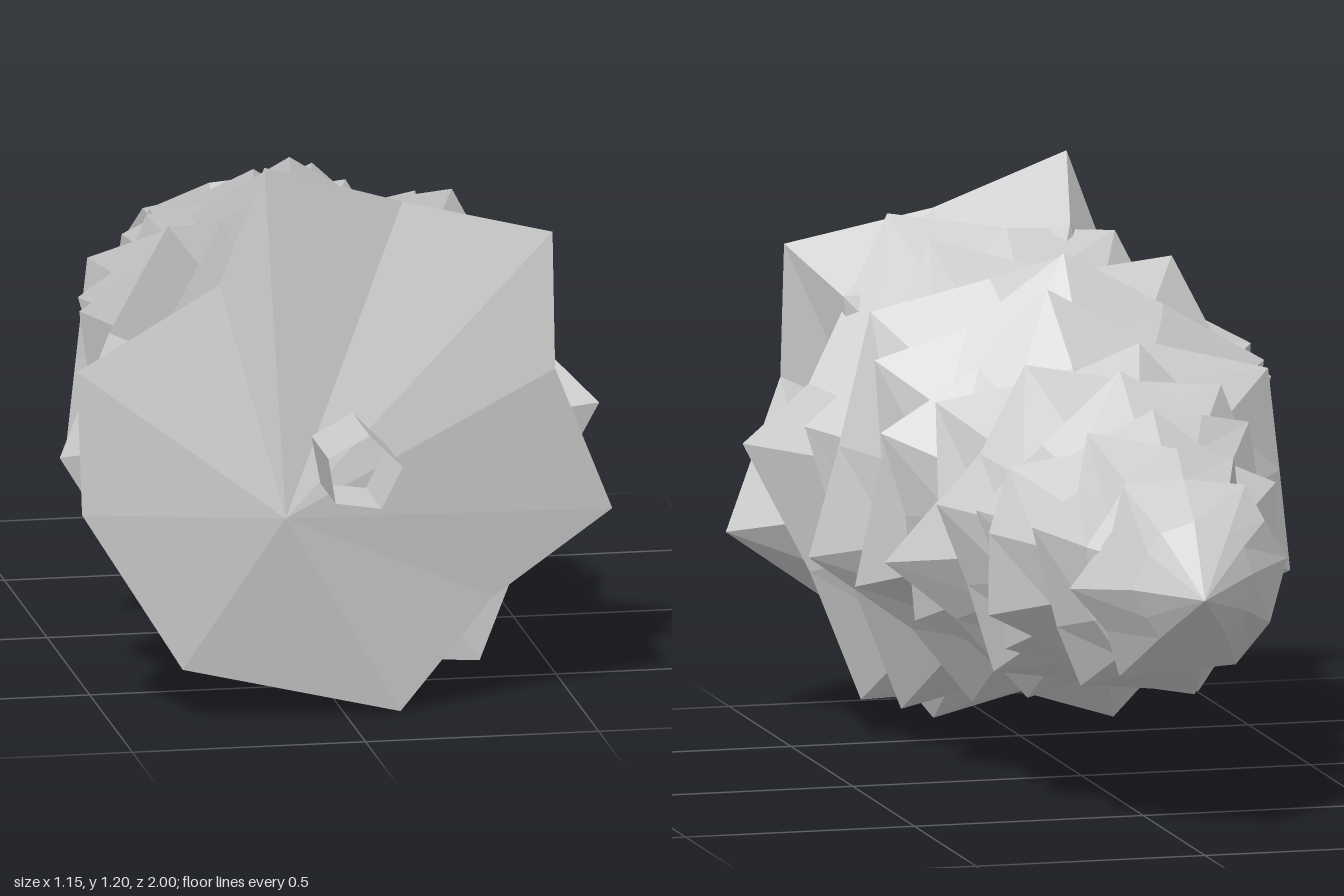
import * as THREE from 'three';

const AXIS_Y = 0.57;
const SPIKES = 6;

// Each tier: rim z, rim extents (right x, top y, left x, bottom y), angle of the first spike in degrees
const TIERS = [
  [-0.72, 0.22, 0.76, -0.26, 0.34, 0],
  [-0.59, 0.27, 0.84, -0.25, 0.28, 10],
  [-0.45, 0.33, 0.86, -0.30, 0.28, 35],
  [-0.32, 0.32, 0.92, -0.32, 0.23, 20],
  [-0.19, 0.37, 0.92, -0.38, 0.20, 5],
  [-0.04, 0.44, 0.93, -0.40, 0.18, 50],
  [0.08, 0.42, 1.03, -0.475, 0.16, 25],
  [0.22, 0.43, 1.08, -0.475, 0.14, 35],
  [0.36, 0.50, 1.05, -0.50, 0.10, 40],
  [0.49, 0.47, 1.07, -0.565, 0.03, 8],
  [0.63, 0.565, 1.105, -0.52, 0.07, 0],
];

// Corners of the lowest, widest tier, counter-clockwise from the front
const LOWEST_RIM = [
  [0.445, 0.74, 0.79], [0.445, 1.03, 0.76], [0.13, 1.1, 0.72], [-0.175, 1.2, 0.77],
  [-0.265, 0.94, 0.735], [-0.575, 0.77, 0.76], [-0.565, 0.46, 0.765], [-0.35, 0.115, 0.77],
  [0.12, 0, 0.755], [0.32, 0.24, 0.75], [0.575, 0.42, 0.75],
];

function seeded(seed) {
  return () => {
    seed = (seed * 16807) % 2147483647;
    return seed / 2147483647;
  };
}

// Closed surface through a base point, a rim, a shoulder ring and an apex
function tierGeometry(rim, base, apex, shoulderZ, shoulderScale) {
  const n = rim.length;
  const shoulder = rim.map((p, k) => {
    const s = shoulderScale + (k % 2 ? 0.06 : -0.02);
    return new THREE.Vector3(p.x * s, AXIS_Y + (p.y - AXIS_Y) * s, shoulderZ);
  });
  const pos = [];
  const tri = (...pts) => pts.forEach((p) => pos.push(p.x, p.y, p.z));
  for (let k = 0; k < n; k++) {
    const j = (k + 1) % n;
    tri(base, rim[k], rim[j]);
    tri(rim[j], rim[k], shoulder[k]);
    tri(rim[j], shoulder[k], shoulder[j]);
    tri(shoulder[j], shoulder[k], apex);
  }
  const geometry = new THREE.BufferGeometry();
  geometry.setAttribute('position', new THREE.Float32BufferAttribute(pos, 3));
  geometry.computeVertexNormals();
  return geometry;
}

// Star-shaped rim with drooping spikes and raised notches, fitted to the tier's extents
function jaggedRim([z, right, top, left, bottom, turn], rand) {
  const rim = Array.from({ length: SPIKES * 2 }, (_, k) => {
    const a = THREE.MathUtils.degToRad(turn) + (k + (rand() - 0.5) * 0.5) * Math.PI / SPIKES;
    const r = (k % 2 ? 0.82 : 0.97) + (rand() - 0.5) * 0.1;
    const lift = (k % 2 ? -0.035 : 0.005) + (rand() - 0.5) * 0.04;
    return new THREE.Vector3(Math.cos(a) * r, Math.sin(a) * r, z + lift);
  });
  const box = new THREE.Box3().setFromPoints(rim);
  rim.forEach((p) => {
    p.x = THREE.MathUtils.mapLinear(p.x, box.min.x, box.max.x, left, right);
    p.y = THREE.MathUtils.mapLinear(p.y, box.min.y, box.max.y, bottom, top);
  });
  return rim;
}

export function createModel() {
  const tree = new THREE.Group();
  tree.name = 'fallenPine';
  const rand = seeded(31337);
  const material = new THREE.MeshStandardMaterial({ color: 0xcccccc, flatShading: true });
  const add = (name, geometry, mat = material) => {
    const mesh = new THREE.Mesh(geometry, mat);
    mesh.name = name;
    tree.add(mesh);
    return mesh;
  };

  // Overlapping skirts of foliage, growing from the tip to the trunk
  TIERS.forEach((tier, i) => {
    const z = tier[0];
    const rim = jaggedRim(tier, rand);
    const base = new THREE.Vector3(0, AXIS_Y, z + 0.03);
    const apex = new THREE.Vector3(0, i ? AXIS_Y : 0.545, i ? z - 0.28 : -1);
    add('foliageTier' + (i + 1), tierGeometry(rim, base, apex, z - 0.14, i ? 0.71 : 0.57));
  });

  // Lowest tier, with a slightly bulging underside
  const lowest = LOWEST_RIM.map((p) => new THREE.Vector3(...p));
  add('lowestFoliageTier', tierGeometry(lowest,
    new THREE.Vector3(-0.14, 0.45, 0.83), new THREE.Vector3(0, AXIS_Y, 0.45), 0.61, 0.74));

  // Five-sided open trunk
  const bark = material.clone();
  bark.side = THREE.DoubleSide;
  const trunkGeometry = new THREE.CylinderGeometry(0.085, 0.085, 0.3, 5, 1, true);
  trunkGeometry.rotateY(THREE.MathUtils.degToRad(171)).rotateX(Math.PI / 2);
  add('trunk', trunkGeometry, bark).position.set(-0.004, 0.581, 0.85);

  return tree;
}
